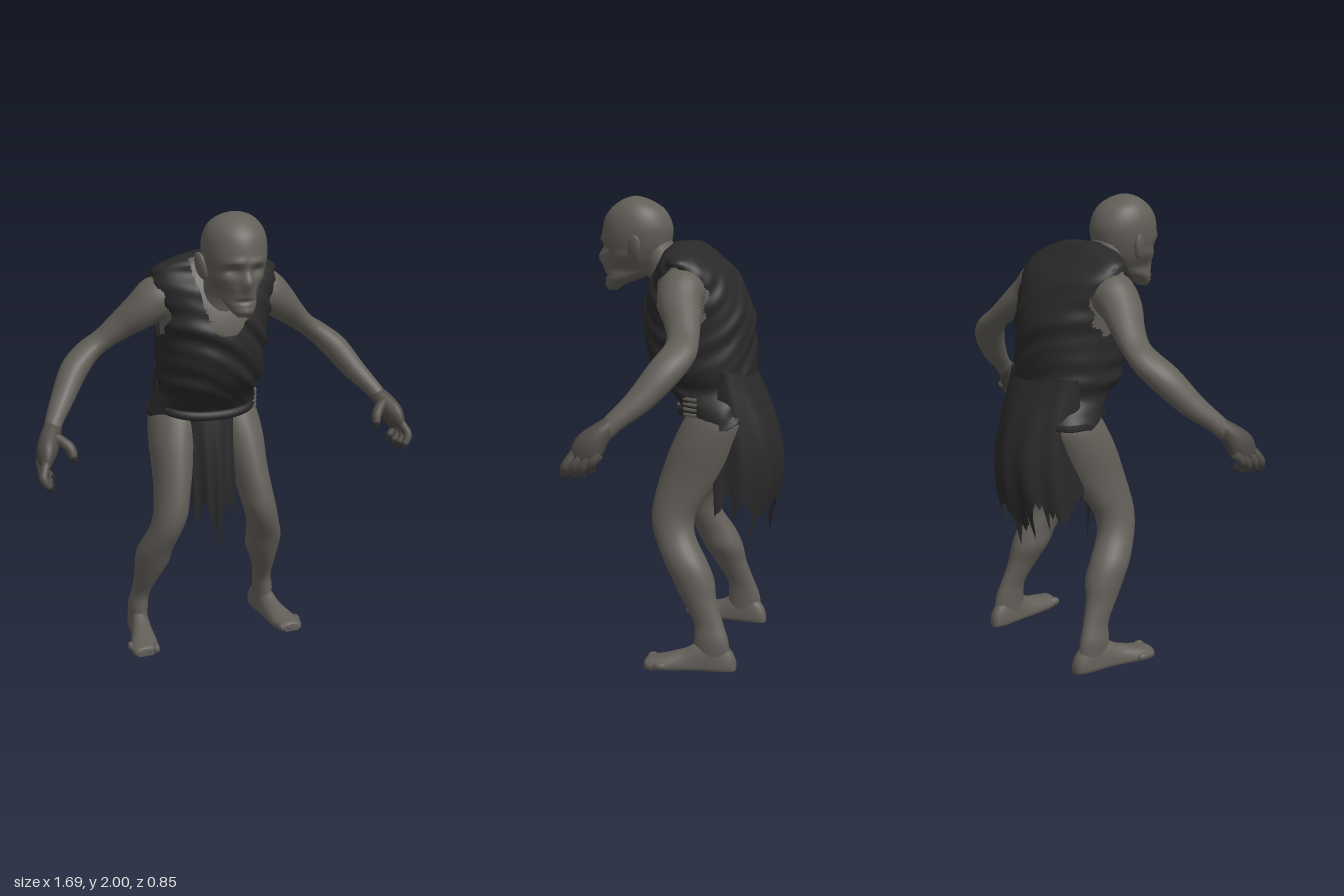
import * as THREE from 'three';

const mat = (name, color, side = THREE.FrontSide) => {
  const m = new THREE.MeshStandardMaterial({ color, side });
  m.name = name;
  return m;
};
const V = (x, y, z) => new THREE.Vector3(x, y, z);
const bell = (d, r) => Math.exp(-(d / r) * (d / r));
const spow = (v, e) => Math.sign(v) * Math.pow(Math.abs(v), e);

// Smoothly interpolates rows of numbers
function resample(rows, steps) {
  const out = [], n = rows.length;
  for (let i = 0; i < n - 1; i++) {
    const [a, b, c, d] = [rows[Math.max(i - 1, 0)], rows[i], rows[i + 1], rows[Math.min(i + 2, n - 1)]];
    for (let s = 0; s < steps; s++) {
      const t = s / steps;
      out.push(b.map((_, k) => 0.5 * (2 * b[k] + (c[k] - a[k]) * t + (2 * a[k] - 5 * b[k] + 4 * c[k] - d[k]) * t * t
        + (3 * b[k] - a[k] - 3 * c[k] + d[k]) * t * t * t)));
    }
  }
  out.push(rows[n - 1]);
  return out;
}

function flip(index) {
  for (let i = 0; i < index.length; i += 3) [index[i], index[i + 1]] = [index[i + 1], index[i]];
}

// Closed skin over rings of points; deform moves points, keep filters triangles by centre
function loft(rings, { deform, keep } = {}) {
  const n = rings[0].length, pts = rings.flat(), idx = [];
  const centre = r => r.reduce((s, p) => s.add(p), V(0, 0, 0)).divideScalar(n);
  const start = pts.push(centre(rings[0])) - 1, end = pts.push(centre(rings[rings.length - 1])) - 1;
  if (deform) pts.forEach(deform);
  const last = (rings.length - 1) * n;
  for (let j = 0; j < n; j++) {
    const k = (j + 1) % n;
    for (let i = 0; i < last; i += n) idx.push(i + j, i + n + j, i + k, i + k, i + n + j, i + n + k);
    idx.push(start, j, k, end, last + k, last + j);
  }
  let volume = 0;
  for (let i = 0; i < idx.length; i += 3) {
    volume += pts[idx[i]].dot(V(0, 0, 0).crossVectors(pts[idx[i + 1]], pts[idx[i + 2]]));
  }
  if (volume < 0) flip(idx);
  let used = idx;
  if (keep) {
    used = [];
    for (let i = 0; i < idx.length; i += 3) {
      const t = idx.slice(i, i + 3), c = V(0, 0, 0);
      t.forEach(q => c.addScaledVector(pts[q], 1 / 3));
      if (keep(c)) used.push(...t);
    }
  }
  const g = new THREE.BufferGeometry().setFromPoints(pts);
  g.setIndex(used);
  g.computeVertexNormals();
  return g;
}

const around = (n, f) => Array.from({ length: n }, (_, j) => f((j / n) * Math.PI * 2));

// Horizontal ring: [y, centre x, half width, front z, back z]
const level = ([y, xc, rx, zf, zb], a, e = 1) =>
  V(xc + rx * spow(Math.cos(a), e), y, (zf + zb) / 2 + (zf - zb) / 2 * spow(Math.sin(a), e));
const stack = (rows, n, steps, opts = {}) =>
  loft(resample(rows, steps).map(r => around(n, a => level(r, a, opts.e))), opts);

// Limb along a path: [x, y, z, radius, radius toward ref]
function limb(rows, ref, n = 16, steps = 5) {
  const rs = resample(rows, steps), at = i => V(...rs[Math.min(Math.max(i, 0), rs.length - 1)]);
  return loft(rs.map((r, i) => {
    const t = at(i + 1).sub(at(i - 1)).normalize();
    const side = t.clone().cross(ref).normalize(), up = side.clone().cross(t);
    return around(n, a => at(i).addScaledVector(side, r[3] * Math.cos(a)).addScaledVector(up, r[4] * Math.sin(a)));
  }));
}

// Open cloth sheet, f(u, v) with u from -1 to 1 and v from 0 to 1
function sheet(cols, rows, f) {
  const g = new THREE.PlaneGeometry(1, 1, cols, rows), p = g.attributes.position;
  for (let i = 0; i < p.count; i++) {
    const j = i % (cols + 1), q = f(j / cols * 2 - 1, Math.floor(i / (cols + 1)) / rows, j);
    p.setXYZ(i, q.x, q.y, q.z);
  }
  g.computeVertexNormals();
  return g;
}

export function createModel() {
  const root = new THREE.Group();
  const skin = mat('skin', 0x625e58), cloth = mat('dark cloth', 0x292929, THREE.DoubleSide);
  const dirty = mat('dirty skin', 0x4e4a46), claw = mat('claw', 0x2e2b28), eye = mat('eye', 0x78746c);
  const X = V(1, 0, 0), Z = V(0, 0, 1);
  let seed = 7;
  const rand = () => (seed = (seed * 16807) % 2147483647) / 2147483647;

  const add = (name, geo, m) => {
    const mesh = new THREE.Mesh(geo, m);
    mesh.name = name;
    root.add(mesh);
  };
  const pair = (name, geo, m) => {
    add(name + 'Left', geo, m);
    const g = geo.clone().scale(-1, 1, 1), idx = Array.from(g.index.array);
    flip(idx);
    g.setIndex(idx);
    add(name + 'Right', g, m);
  };

  // Head with brow, sockets, nose, cheeks and mouth pressed into the face
  add('head', stack([
    [1.592, 0, 0.026, 0.37, 0.335], [1.61, 0, 0.045, 0.38, 0.305], [1.635, 0, 0.062, 0.384, 0.25],
    [1.66, 0, 0.075, 0.387, 0.185], [1.69, 0, 0.087, 0.387, 0.15], [1.73, 0, 0.104, 0.384, 0.115],
    [1.77, 0, 0.118, 0.388, 0.095],
    [1.81, 0, 0.128, 0.395, 0.085], [1.86, 0, 0.132, 0.393, 0.08], [1.91, 0, 0.125, 0.38, 0.095],
    [1.95, 0, 0.106, 0.35, 0.125], [1.98, 0, 0.073, 0.31, 0.175], [1.995, 0, 0.035, 0.275, 0.215], [2, 0, 0.004, 0.25, 0.24],
  ], 56, 5, {
    deform: p => {
      if (p.z < 0.2) return;
      const x = Math.abs(p.x), y = p.y, w = Math.min(1, (p.z - 0.2) / 0.08);
      p.z += w * (0.036 * bell(x, 0.018 + Math.max(0, 1.76 - y) * 0.15) * bell(y - 1.735, 0.038)
        + 0.012 * bell(x - 0.045, 0.04) * bell(y - 1.815, 0.015)
        - 0.026 * bell(x - 0.05, 0.026) * bell(y - 1.78, 0.02)
        - 0.012 * bell(x, 0.045) * bell(y - 1.657, 0.009)
        + 0.008 * bell(x, 0.03) * bell(y - 1.615, 0.015));
      p.x *= 1 + w * (0.05 * bell(y - 1.745, 0.02) - 0.13 * bell(y - 1.685, 0.028));
    },
  }), skin);
  pair('eye', new THREE.SphereGeometry(0.014, 12, 8).scale(1.2, 0.6, 0.7).translate(0.049, 1.779, 0.334), eye);
  pair('ear', new THREE.SphereGeometry(1, 14, 10).scale(0.016, 0.058, 0.034).rotateX(-0.2).rotateY(-0.4)
    .rotateZ(-0.15).translate(0.132, 1.782, 0.215), skin);
  add('neck', limb([[0, 1.5, 0.05, 0.12, 0.1], [0, 1.62, 0.085, 0.095, 0.08], [0, 1.7, 0.12, 0.083, 0.08],
    [0, 1.8, 0.18, 0.09, 0.09]], Z, 20), skin);

  // Body beneath the cloth, and the tunic over it
  const torso = [
    [1.04, 0, 0.25, -0.02, -0.33], [1.12, 0, 0.232, 0.035, -0.32], [1.18, 0, 0.21, 0.09, -0.3],
    [1.26, 0, 0.23, 0.15, -0.295], [1.38, 0, 0.235, 0.185, -0.29], [1.5, 0, 0.245, 0.195, -0.28],
    [1.6, 0, 0.265, 0.172, -0.24], [1.68, 0, 0.284, 0.135, -0.19], [1.735, 0, 0.276, 0.1, -0.125],
    [1.775, 0, 0.2, 0.085, -0.085], [1.808, 0, 0.1, 0.055, -0.045],
  ];
  const inner = torso.map(([y, x, r, f, b]) => [y - 0.012, x, r - 0.025, f - 0.02, b + 0.025]);
  add('body', stack([[0.92, 0, 0.08, -0.08, -0.2], [0.97, 0, 0.16, -0.05, -0.28], ...inner], 36, 3, { e: 0.88 }), skin);
  add('tunic', stack(torso, 128, 10, {
    e: 0.88,
    deform: p => {
      const front = p.z > -0.05 ? 1 : 0.55, drape = p.y + 0.55 * p.x + 1.6 * p.x * p.x;
      const low = Math.max(0, 1.2 - p.y) / 0.14;
      const k = 1 + front * (0.026 * Math.sin(44 * drape) + 0.018 * Math.sin(71 * drape + 9 * p.x))
        + 0.02 * low * Math.sin(40 * p.x + 9 * p.z);
      p.x *= 1 + (k - 1) * 0.7;
      p.z = -0.06 + (p.z + 0.06) * k;
      if (p.y < 1.075) p.y += 0.018 * Math.sin(31 * p.x + 17 * p.z);
    },
    keep: c => {
      const neck = c.z > 0.055 && c.y > 1.475 + 0.27 * Math.pow(Math.abs(c.x) / 0.128, 3);
      const rag = 1 + 0.12 * Math.sin(60 * c.y) * Math.cos(50 * c.z);
      const arm = Math.abs(c.x) > 0.17 && Math.hypot((c.y - 1.575) / 0.125, (c.z + 0.03) / 0.11) < rag;
      return !neck && !arm && c.y > 1.03;
    },
  }), cloth);

  // Cloth roll hanging across the front of the waist, and a bare strip at the left hip
  const waist = (y, a, out) => level([y, 0, 0.23 + out, 0.035 + out, -0.32 - out], a, 0.88);
  const roll = Array.from({ length: 13 }, (_, i) => {
    const a = 0.5 + i * 0.18;
    return waist(1.12 - 0.04 * Math.sin(a), a, -0.012);
  });
  add('waistRoll', new THREE.TubeGeometry(new THREE.CatmullRomCurve3(roll), 60, 0.022, 8), cloth);
  for (let i = 0; i < 4; i++) {
    const path = [0.22, 0.36, 0.5, 0.64].map(a => waist(1.085 + i * 0.022, a, 0.006));
    add('hipStrip', new THREE.TubeGeometry(new THREE.CatmullRomCurve3(path), 12, 0.008, 6), skin);
  }

  // Ragged skirt behind and loincloth in front
  const ragged = (n, f) => Array.from({ length: n + 1 }, (_, j) => f(j / n * 2 - 1) - rand() * 0.06 - (rand() > 0.84 ? 0.09 : 0));
  const hem = ragged(56, u => 0.72 - 0.03 * Math.cos(u * 3) + 0.05 * Math.sin(u * 11));
  add('backSkirt', sheet(56, 24, (u, v, j) => {
    const y = 1.27 + (hem[j] - 1.27) * v, th = u * 1.75, h = (1.27 - y) / 0.7;
    const fold = 1 + 0.05 * h * Math.sin(u * 19 + 2 * h);
    const depth = 0.08 + 0.14 * Math.sin(Math.min(h * 2.7, 2.6));
    return V(0.214 * Math.sin(th) * fold, y, -0.2 - depth * Math.cos(th) * fold);
  }), cloth);
  const frontHem = ragged(28, u => 0.7 - 0.1 * bell(u, 0.35));
  add('loincloth', sheet(28, 16, (u, v, j) => {
    const y = 1.1 + (frontHem[j] - 1.1) * v, h = 1.1 - y;
    return V(u * (0.125 - 0.02 * v), y, 0.2 * h - 0.22 * h * h - 0.05 * u * u + 0.01 * v * Math.sin(u * 12));
  }), cloth);

  // Legs: thigh, bent knee, calf and ankle
  pair('leg', stack([
    [1.13, 0.13, 0.08, -0.06, -0.24], [1.06, 0.145, 0.105, -0.015, -0.29], [0.95, 0.165, 0.1, 0.035, -0.25],
    [0.82, 0.18, 0.086, 0.08, -0.19], [0.72, 0.197, 0.078, 0.105, -0.125], [0.64, 0.212, 0.076, 0.113, -0.08],
    [0.56, 0.235, 0.073, 0.095, -0.085], [0.46, 0.265, 0.078, 0.045, -0.145], [0.38, 0.272, 0.076, 0.005, -0.18],
    [0.3, 0.288, 0.055, -0.04, -0.195], [0.2, 0.305, 0.04, -0.1, -0.23], [0.13, 0.315, 0.043, -0.105, -0.255],
    [0.05, 0.315, 0.04, -0.1, -0.265],
  ], 24, 4), skin);

  // Feet with flat soles: [z, centre x, half width, height]
  const foot = [[-0.287, 0.308, 0.015, 0.04], [-0.27, 0.309, 0.034, 0.08], [-0.22, 0.313, 0.044, 0.13],
    [-0.14, 0.32, 0.046, 0.125], [-0.07, 0.33, 0.052, 0.088], [0, 0.343, 0.062, 0.065],
    [0.05, 0.352, 0.064, 0.052], [0.085, 0.357, 0.054, 0.045], [0.1, 0.359, 0.034, 0.035]];
  pair('foot', loft(resample(foot, 4).map(([z, x, r, h]) => around(20, a => {
    const s = Math.sin(a);
    return V(x + r * Math.cos(a), s > 0 ? 0.018 + s * (h - 0.018) : 0.018 * (1 - Math.min(1, -s * 2.5)), z);
  }))), skin);
  for (let i = 0; i < 5; i++) {
    pair('toe', new THREE.SphereGeometry(1, 10, 8).scale(i ? 0.014 : 0.019, i ? 0.017 : 0.022, 0.03)
      .translate(0.31 + i * 0.024 + (i ? 0.004 : 0), 0.023, 0.08 - i * i * 0.0035), skin);
  }

  // Arms reaching out and forward
  pair('arm', limb([
    [0.17, 1.64, -0.03, 0.07, 0.08], [0.24, 1.615, -0.03, 0.095, 0.1], [0.31, 1.565, -0.04, 0.08, 0.092],
    [0.39, 1.5, -0.075, 0.06, 0.076], [0.47, 1.435, -0.1, 0.046, 0.066], [0.54, 1.385, -0.1, 0.05, 0.072],
    [0.61, 1.32, -0.06, 0.057, 0.07], [0.68, 1.222, 0.015, 0.048, 0.056], [0.735, 1.15, 0.09, 0.037, 0.042],
    [0.762, 1.1, 0.14, 0.034, 0.038],
  ], Z, 20), skin);

  // Hands: palm, curled fingers and thumb ending in claws
  pair('palm', limb([[0.738, 1.145, 0.1, 0.03, 0.033], [0.765, 1.1, 0.145, 0.046, 0.044],
    [0.79, 1.05, 0.185, 0.062, 0.042], [0.805, 1.0, 0.21, 0.055, 0.024]], X, 16), dirty);
  const digit = (name, a, b, c, r) => {
    pair(name, limb([[...a, r, r], [...b, r * 1.05, r * 1.05], [...c, r * 0.75, r * 0.75]], X, 10), dirty);
    const tip = c.map((v, k) => v + (c[k] - b[k]) * 0.5);
    pair(name + 'Claw', limb([[...c, r * 0.78, r * 0.78], [...tip, 0.002, 0.002]], X, 8, 3), claw);
  };
  for (let i = 0; i < 4; i++) {
    const z = 0.25 - i * 0.034, drop = i === 3 ? 0.015 : 0;
    digit('finger', [0.803, 1.025, z - 0.01], [0.824 - i * 0.004, 0.975 + drop, z + 0.02],
      [0.8 - i * 0.008, 0.935 + drop, z + 0.035], 0.019);
  }
  digit('thumb', [0.75, 1.11, 0.165], [0.7, 1.07, 0.205], [0.688, 1.03, 0.228], 0.022);

  return root;
}
